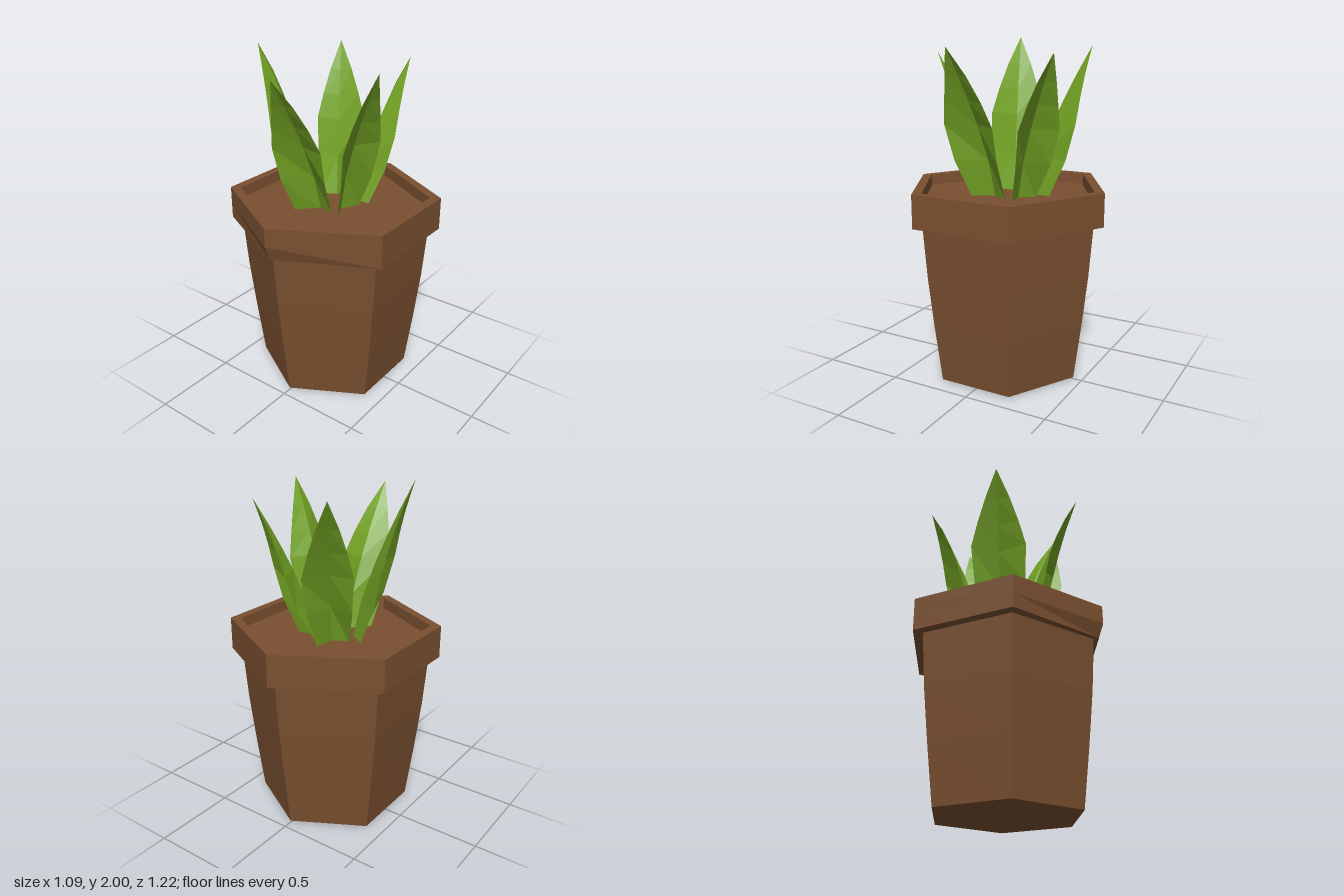
import * as THREE from 'three';

const SOIL_Y = 1.09;

export function createModel() {
  const model = new THREE.Group();
  const clay = new THREE.MeshStandardMaterial({ color: 0x7a5030, flatShading: true });
  clay.name = 'clay brown';
  const green = new THREE.MeshStandardMaterial({ color: 0x73a324, flatShading: true, side: THREE.DoubleSide });
  green.name = 'leaf green';

  const add = (name, geometry, material) => {
    const mesh = new THREE.Mesh(geometry, material);
    mesh.name = name;
    model.add(mesh);
    return mesh;
  };

  // Six-sided shell with a corner pointing to the front, slightly wide in x
  const hexLathe = (profile) => {
    const points = profile.map(([r, y]) => new THREE.Vector2(r, y));
    return new THREE.LatheGeometry(points, 6).scale(1.03, 1, 1);
  };

  // Tapered pot body with a slight bulge
  add('potBody', hexLathe([[0, 0], [0.447, 0.01], [0.491, 0.35], [0.525, 0.65], [0.55, 0.97]]), clay);

  // Overhanging rim, with its front lower corner chipped inward
  const rim = hexLathe([[0.54, 0.96], [0.61, 0.96], [0.61, 1.045], [0.61, 1.155], [0.55, 1.155], [0.545, 1.08]]);
  const p = rim.attributes.position;
  for (let i = 0; i < p.count; i++) {
    if (p.getZ(i) > 0.6 && p.getY(i) < 1) p.setZ(i, 0.58);
  }
  add('potRim', rim, clay);

  // Soil surface just below the rim
  add('soil', hexLathe([[0.548, SOIL_Y], [0, SOIL_Y]]), clay);

  // Leaf rows: height fraction, then the share of the way base -> widest -> tip
  const rows = [[0, 0], [0.26, 0.65], [0.5, 1], [0.66, 1.25], [0.82, 1.56], [1, 2]];

  // Folded blade: midrib from base to tip, one edge on each side
  const leafGeometry = ({ base, tip, edges }) => {
    const [tx, ty, tz] = tip;
    const lerp = THREE.MathUtils.lerp;
    const positions = [];
    const index = [];
    for (const [t, s] of rows) {
      const y = lerp(SOIL_Y - 0.01, ty, t);
      const edge = ([x0, z0, x1, z1]) => (s <= 1
        ? [lerp(x0, x1, s), y, lerp(z0, z1, s)]
        : [lerp(x1, tx, s - 1), y, lerp(z1, tz, s - 1)]);
      const m = Math.pow(t, 1.4);
      positions.push(...edge(edges[0]), lerp(base[0], tx, m), y, lerp(base[1], tz, m), ...edge(edges[1]));
    }
    for (let r = 0; r < rows.length - 1; r++) {
      for (let c = 0; c < 2; c++) {
        const a = r * 3 + c;
        index.push(a, a + 1, a + 3);
        if (r < rows.length - 2) index.push(a + 1, a + 4, a + 3);
      }
    }
    const g = new THREE.BufferGeometry();
    g.setAttribute('position', new THREE.Float32BufferAttribute(positions, 3));
    g.setIndex(index);
    g.computeVertexNormals();
    return g;
  };

  // Each edge holds x, z at its base and x, z at its widest point
  const leaves = {
    frontLeaf: {
      base: [-0.02, 0.10], tip: [-0.02, 1.915, 0.495],
      edges: [[-0.12, 0.21, -0.15, 0.36], [0.08, 0.125, 0.115, 0.27]],
    },
    leftLeaf: {
      base: [0.08, 0.04], tip: [0.40, 1.945, 0.16],
      edges: [[0.144, 0.16, 0.26, 0.27], [0.135, -0.058, 0.28, -0.055]],
    },
    rightLeaf: {
      base: [-0.12, 0.02], tip: [-0.425, 2.0, 0.14],
      edges: [[-0.22, -0.05, -0.36, -0.056], [-0.104, 0.17, -0.25, 0.25]],
    },
    backRightLeaf: {
      base: [-0.063, -0.114], tip: [-0.255, 1.95, -0.41],
      edges: [[-0.055, -0.24, -0.07, -0.395], [-0.156, -0.066, -0.275, -0.2]],
    },
    backLeftLeaf: {
      base: [0.056, -0.098], tip: [0.24, 1.915, -0.40],
      edges: [[0.165, -0.115, 0.275, -0.21], [-0.005, -0.18, 0.065, -0.36]],
    },
  };
  for (const [name, data] of Object.entries(leaves)) add(name, leafGeometry(data), green);

  return model;
}
